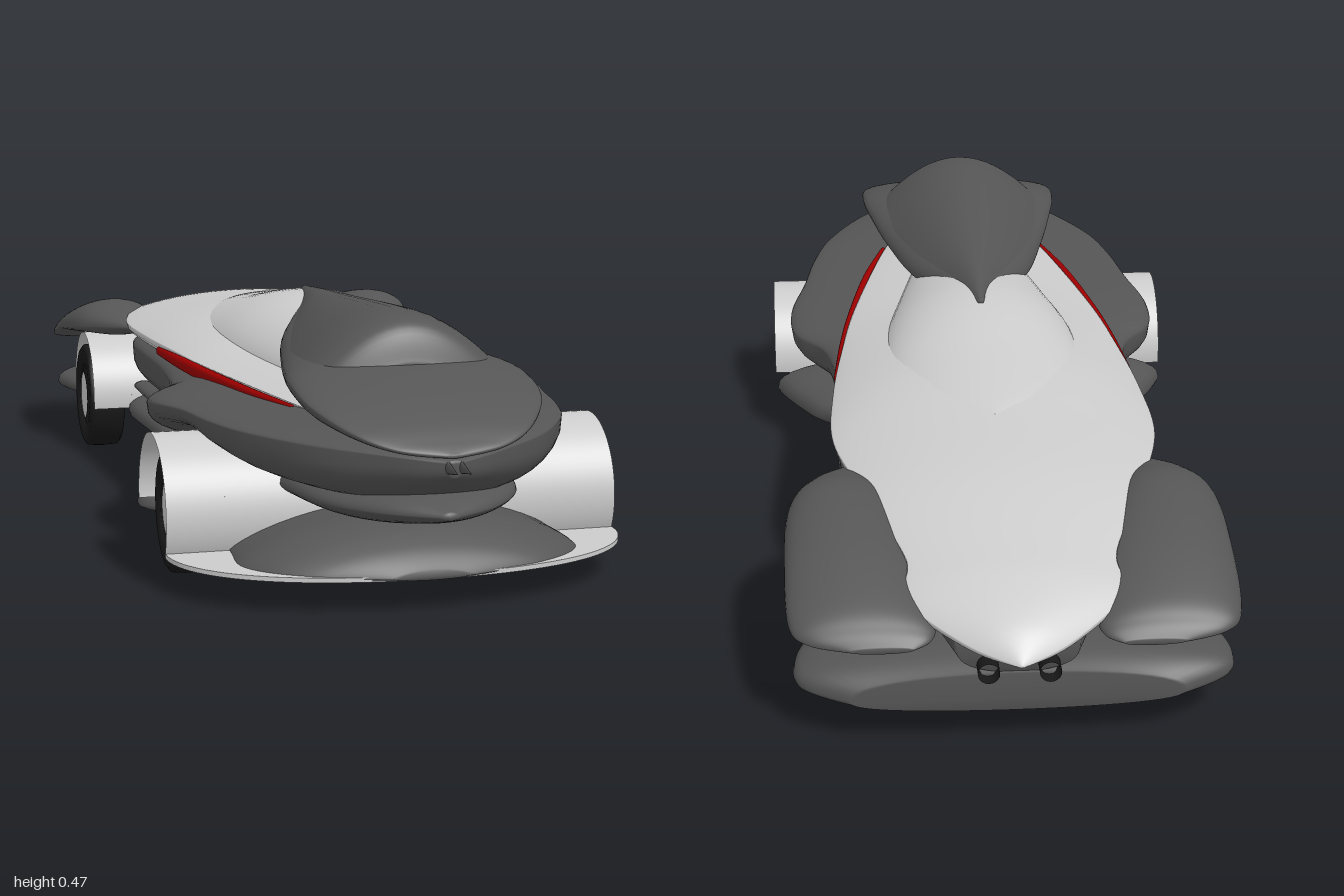
import * as THREE from 'three';

const mat = (color) => new THREE.MeshStandardMaterial({ color, side: THREE.DoubleSide });
const light = mat(0xcccccc), dark = mat(0x555555), black = mat(0x181818), red = mat(0xa00000);

// Catmull-Rom value through neighbouring station numbers
function smooth(a, b, c, d, t) {
  const p = (c - a) / 2, q = (d - b) / 2;
  return b + t * (p + t * (3 * (c - b) - 2 * p - q + t * (2 * (b - c) + p + q)));
}

// Lofted shell. Stations run from +z to -z: [z, half width, edge y, top y, bottom y, centre x]
function shell(name, material, stations, { top = 1, bottom = 1, side = 1, steps = 8, n = 48 } = {}) {
  const pos = [], idx = [], rows = [];
  const at = (i) => stations[Math.min(Math.max(i, 0), stations.length - 1)];
  for (let i = 0; i < stations.length - 1; i++) {
    for (let s = 0; s < steps; s++) {
      rows.push([0, 1, 2, 3, 4, 5].map((k) =>
        smooth(at(i - 1)[k] ?? 0, at(i)[k] ?? 0, at(i + 1)[k] ?? 0, at(i + 2)[k] ?? 0, s / steps)));
    }
  }
  rows.push(at(stations.length));
  for (const [z, w, edge, yTop, yBot, cx = 0] of rows) {
    for (let j = 0; j < n; j++) {
      const a = (j / n) * Math.PI * 2, s = Math.sin(a);
      const y = s >= 0 ? edge + (yTop - edge) * s ** top : edge - (edge - yBot) * (-s) ** bottom;
      pos.push(cx * side + w * Math.cos(a), y, z);
    }
  }
  for (let i = 0; i < rows.length - 1; i++) {
    for (let j = 0; j < n; j++) {
      const a = i * n + j, b = i * n + (j + 1) % n;
      idx.push(a, a + n, b, b, a + n, b + n);
    }
  }
  // end caps
  const first = rows[0], last = rows[rows.length - 1], c0 = rows.length * n, e = c0 - n;
  for (const r of [first, last]) pos.push((r[5] ?? 0) * side, r[2], r[0]);
  for (let j = 0; j < n; j++) {
    const k = (j + 1) % n;
    idx.push(c0, j, k, c0 + 1, e + k, e + j);
  }
  const g = new THREE.BufferGeometry();
  g.setAttribute('position', new THREE.Float32BufferAttribute(pos, 3));
  g.setIndex(idx);
  g.computeVertexNormals();
  const m = new THREE.Mesh(g, material);
  m.name = name;
  return m;
}

function mesh(name, geometry, material, x = 0, y = 0, z = 0) {
  const m = new THREE.Mesh(geometry, material);
  m.name = name;
  m.position.set(x, y, z);
  return m;
}

// Curved wheel cover running across the car, with a wall behind each wheel
function arch(name, r, halfWidth, y, z, from, to, wallX) {
  const group = new THREE.Group();
  group.name = name;
  const cover = new THREE.CylinderGeometry(r, r, halfWidth * 2, 40, 1, true, from, to - from).rotateZ(Math.PI / 2);
  group.add(mesh('cover', cover, light));
  for (const x of [wallX, -wallX]) {
    const wall = new THREE.CircleGeometry(r, 40, -0.1, Math.PI + 0.2).rotateY(Math.PI / 2);
    group.add(mesh('wheelWell', wall, light, x));
  }
  group.position.set(0, y, z);
  return group;
}

function wheel(name, x, z, side) {
  const group = new THREE.Group();
  group.name = name;
  const profile = [[0.05, -0.036], [0.1, -0.036], [0.108, -0.03], [0.11, 0],
    [0.108, 0.03], [0.1, 0.036], [0.05, 0.036], [0.05, -0.036]];
  const tyre = new THREE.LatheGeometry(profile.map((p) => new THREE.Vector2(...p)), 40).rotateZ(Math.PI / 2);
  const hub = new THREE.CylinderGeometry(0.051, 0.051, 0.066, 32).rotateZ(Math.PI / 2);
  group.add(mesh('tyre', tyre, black), mesh('hub', hub, light));
  group.position.set(x * side, 0.11, z);
  return group;
}

export function createModel() {
  const model = new THREE.Group();
  model.name = 'car';

  // light upper body with low shoulders, and the canopy rising from it
  model.add(shell('upperBody', light, [
    [0.7, 0.12, 0.295, 0.31, 0.26], [0.5, 0.175, 0.3, 0.318, 0.25], [0.2, 0.237, 0.302, 0.33, 0.24],
    [0, 0.265, 0.302, 0.355, 0.23], [-0.2, 0.285, 0.30, 0.368, 0.23], [-0.4, 0.288, 0.297, 0.35, 0.23],
    [-0.6, 0.238, 0.293, 0.328, 0.22], [-0.78, 0.175, 0.263, 0.288, 0.2], [-0.86, 0.18, 0.23, 0.267, 0.18],
    [-0.95, 0.09, 0.197, 0.228, 0.17], [-1, 0.005, 0.18, 0.183, 0.178]], { top: 1.8 }));
  model.add(shell('canopy', light, [
    [0.5, 0.09, 0.3, 0.36, 0.29], [0.2, 0.15, 0.305, 0.395, 0.29], [0, 0.185, 0.308, 0.413, 0.29],
    [-0.2, 0.19, 0.308, 0.384, 0.29], [-0.34, 0.14, 0.315, 0.362, 0.3], [-0.41, 0.01, 0.34, 0.349, 0.33]],
  { top: 1.25 }));

  // dark hull: wide pods over the front wheels, tucked in behind them
  model.add(shell('hull', dark, [
    [0.95, 0.01, 0.272, 0.277, 0.25], [0.9, 0.09, 0.277, 0.288, 0.22], [0.8, 0.2, 0.28, 0.3, 0.182],
    [0.66, 0.28, 0.278, 0.302, 0.175], [0.54, 0.315, 0.275, 0.3, 0.19], [0.42, 0.335, 0.272, 0.298, 0.215],
    [0.3, 0.362, 0.262, 0.298, 0.2], [0.2, 0.355, 0.25, 0.298, 0.16], [0.1, 0.295, 0.25, 0.298, 0.14],
    [-0.1, 0.272, 0.25, 0.298, 0.13], [-0.4, 0.275, 0.25, 0.295, 0.13], [-0.55, 0.22, 0.24, 0.28, 0.13],
    [-0.75, 0.17, 0.22, 0.25, 0.14], [-0.93, 0.1, 0.18, 0.2, 0.13]], { bottom: 0.65 }));
  model.add(shell('lowerNose', dark, [
    [0.93, 0.01, 0.18, 0.187, 0.175], [0.86, 0.1, 0.178, 0.21, 0.155], [0.75, 0.17, 0.175, 0.22, 0.133],
    [0.6, 0.2, 0.172, 0.23, 0.123], [0.4, 0.23, 0.17, 0.23, 0.12], [0.15, 0.25, 0.17, 0.21, 0.11]],
  { bottom: 1.3 }));

  // front shield, with a raised spine running back to a point
  model.add(shell('frontShield', dark, [
    [0.945, 0.01, 0.283, 0.286, 0.28], [0.925, 0.09, 0.293, 0.301, 0.28], [0.88, 0.15, 0.313, 0.328, 0.283],
    [0.79, 0.198, 0.342, 0.366, 0.287], [0.68, 0.205, 0.36, 0.396, 0.29], [0.58, 0.19, 0.357, 0.405, 0.3],
    [0.45, 0.163, 0.35, 0.405, 0.31], [0.25, 0.115, 0.355, 0.41, 0.33], [0.1, 0.05, 0.385, 0.415, 0.36],
    [-0.04, 0.005, 0.41, 0.415, 0.4]]));
  model.add(shell('shieldSpine', dark, [
    [0.71, 0.08, 0.37, 0.39, 0.36], [0.68, 0.15, 0.373, 0.452, 0.36], [0.6, 0.168, 0.375, 0.466, 0.35],
    [0.45, 0.15, 0.37, 0.457, 0.34], [0.25, 0.108, 0.37, 0.44, 0.34], [0.1, 0.049, 0.39, 0.429, 0.37],
    [-0.04, 0.005, 0.41, 0.416, 0.4]], { top: 2.1 }));

  // floor: front hump, side skirts and rear diffuser
  model.add(shell('frontHump', dark, [
    [0.84, 0.06, 0.06, 0.07, 0.055], [0.8, 0.2, 0.06, 0.105, 0.055], [0.72, 0.29, 0.06, 0.138, 0.055],
    [0.6, 0.29, 0.062, 0.14, 0.055], [0.35, 0.27, 0.07, 0.14, 0.055]], { top: 1.5 }));
  model.add(shell('floor', dark, [
    [0.36, 0.27, 0.08, 0.14, 0.055], [0.33, 0.385, 0.085, 0.155, 0.055], [0.28, 0.385, 0.09, 0.165, 0.055],
    [0.18, 0.33, 0.09, 0.165, 0.055], [0.08, 0.275, 0.1, 0.15, 0.055], [-0.2, 0.262, 0.1, 0.15, 0.055],
    [-0.45, 0.275, 0.1, 0.15, 0.06], [-0.52, 0.255, 0.1, 0.15, 0.06], [-0.7, 0.255, 0.1, 0.15, 0.06],
    [-0.77, 0.345, 0.1, 0.155, 0.06], [-0.88, 0.36, 0.095, 0.15, 0.06], [-0.935, 0.27, 0.085, 0.13, 0.062]],
  { top: 0.8, bottom: 0.8 }));

  // light splitter plate
  const plan = new THREE.Shape();
  plan.moveTo(-0.4, -0.6);
  plan.bezierCurveTo(-0.4, -0.72, -0.27, -0.835, 0, -0.835);
  plan.bezierCurveTo(0.27, -0.835, 0.4, -0.72, 0.4, -0.6);
  plan.closePath();
  const plate = new THREE.ExtrudeGeometry(plan, { depth: 0.008, bevelEnabled: false, curveSegments: 24 });
  model.add(mesh('splitter', plate.rotateX(-Math.PI / 2), light, 0, 0.055, 0));

  // wheel covers
  model.add(arch('frontWheelCover', 0.13, 0.4, 0.117, 0.48, -0.5, Math.PI + 0.1, 0.298));
  model.add(arch('rearWheelCover', 0.125, 0.345, 0.12, -0.604, -0.15, Math.PI + 0.15, 0.265));

  for (const side of [1, -1]) {
    const tag = side > 0 ? 'left' : 'right';
    model.add(wheel(tag + 'FrontWheel', 0.34, 0.48, side), wheel(tag + 'RearWheel', 0.312, -0.604, side));
    model.add(shell(tag + 'RearFender', dark, [
      [-0.46, 0.01, 0.275, 0.28, 0.27, 0.26], [-0.53, 0.06, 0.27, 0.303, 0.25, 0.275],
      [-0.61, 0.09, 0.257, 0.315, 0.242, 0.28], [-0.75, 0.108, 0.235, 0.285, 0.22, 0.268],
      [-0.88, 0.118, 0.2, 0.24, 0.19, 0.252], [-0.925, 0.1, 0.19, 0.212, 0.183, 0.24],
      [-0.945, 0.05, 0.185, 0.19, 0.18, 0.22]], { top: 0.9, side }));
    model.add(shell(tag + 'RedStrip', red, [
      [0.55, 0.004, 0.295, 0.3, 0.285, 0.168], [0.4, 0.008, 0.295, 0.302, 0.28, 0.205],
      [0.2, 0.009, 0.294, 0.302, 0.275, 0.24], [0.05, 0.009, 0.291, 0.301, 0.275, 0.26],
      [-0.1, 0.004, 0.288, 0.296, 0.28, 0.278]], { side, n: 16 }));
    model.add(shell(tag + 'SideBlade', dark, [
      [0.3, 0.02, 0.19, 0.195, 0.185, 0.3], [0.1, 0.03, 0.185, 0.2, 0.17, 0.25],
      [-0.15, 0.03, 0.175, 0.19, 0.16, 0.25], [-0.42, 0.02, 0.16, 0.17, 0.15, 0.25]], { side, n: 20 }));
    // nose prong and exhaust
    const prong = new THREE.ConeGeometry(0.008, 0.09, 12).rotateX(Math.PI / 2).scale(1, 2.2, 1);
    const pipe = new THREE.CylinderGeometry(0.018, 0.018, 0.06, 20, 1, true).rotateX(Math.PI / 2);
    model.add(mesh(tag + 'NoseProng', prong, dark, 0.011 * side, 0.266, 0.955),
      mesh(tag + 'Exhaust', pipe, black, 0.05 * side, 0.145, -0.93));
  }
  return model;
}
